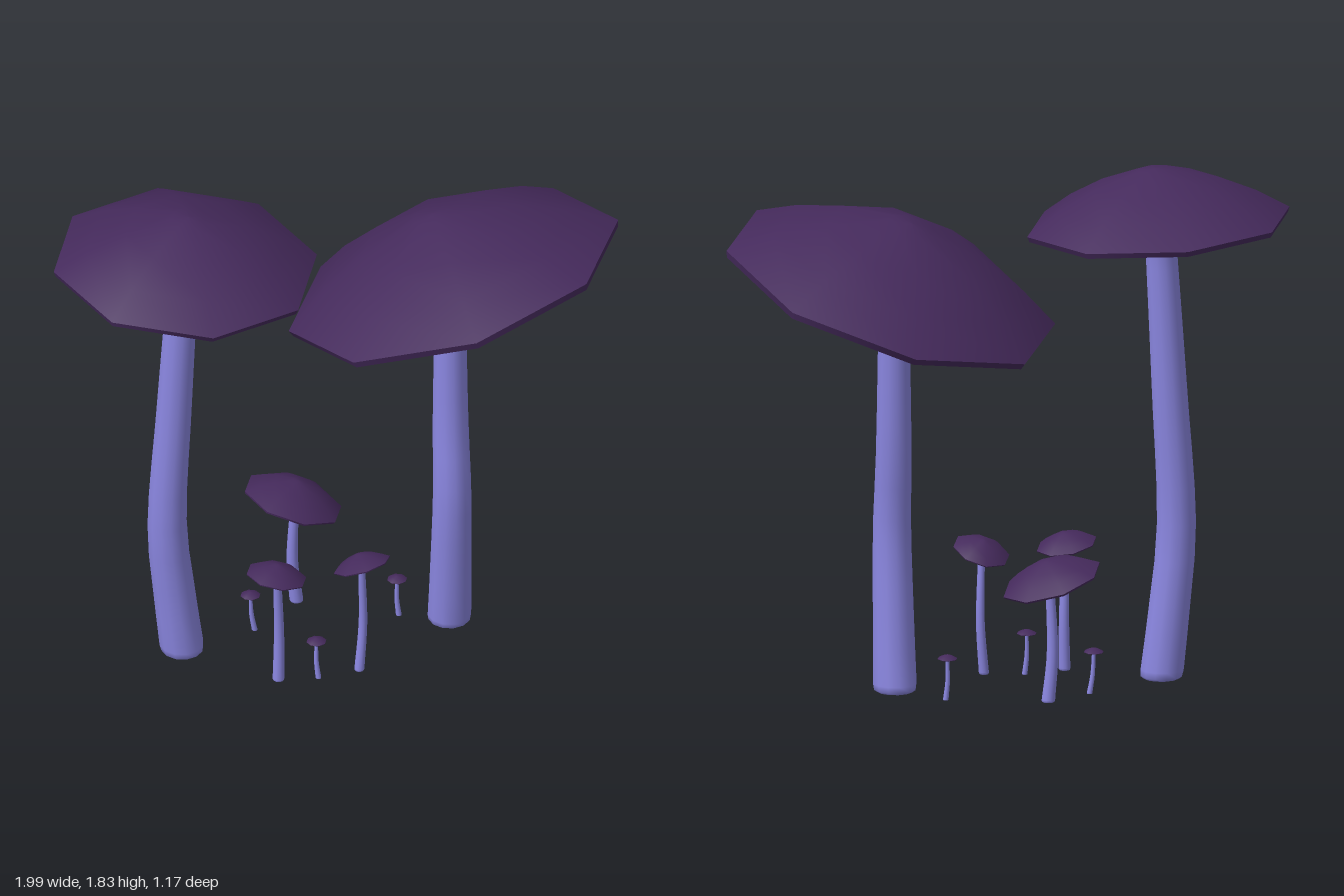
import * as THREE from 'three';

const capMat = new THREE.MeshStandardMaterial({ color: 0x452a5c });
const gillMat = new THREE.MeshStandardMaterial({ color: 0x11101c, side: THREE.DoubleSide });
const stemMat = new THREE.MeshStandardMaterial({ color: 0x8a86e0 });

function lathe(name, points, sides, material) {
  const geometry = new THREE.LatheGeometry(points.map(([x, y]) => new THREE.Vector2(x, y)), sides);
  const mesh = new THREE.Mesh(geometry, material);
  mesh.name = name;
  return mesh;
}

// Eight-sided cap of unit radius, scaled and tilted so its rim rises by slope [dy/dx, dy/dz]
function makeCap({ center, radius, slope, yaw = 0 }) {
  const cap = new THREE.Group();
  cap.name = 'cap';
  cap.add(
    lathe('capTop', [[1, 0.04], [0.76, 0.195], [0.47, 0.335], [0.13, 0.445], [0, 0.455]], 8, capMat),
    lathe('capRim', [[0.985, 0], [1, 0.04]], 8, capMat),
    lathe('capUnderside', [[0, 0.08], [0.3, 0.06], [0.985, 0]], 8, gillMat)
  );
  const normal = new THREE.Vector3(-slope[0], 1, -slope[1]).normalize();
  const up = new THREE.Vector3(0, 1, 0);
  cap.quaternion.setFromUnitVectors(up, normal)
    .multiply(new THREE.Quaternion().setFromAxisAngle(up, yaw));
  cap.position.set(...center);
  cap.scale.setScalar(radius);
  return cap;
}

// Round stem bent along a path, with a rounded foot and a flare that follows the cap's tilt
function makeStem({ path, foot, neck, slope }) {
  const curve = new THREE.CatmullRomCurve3(path.map(p => new THREE.Vector3(...p)));
  const profile = [[0, 0], [foot * 0.8, 0], [foot * 0.96, 0.006], [foot, 0.02]];
  for (let i = 1; i <= 12; i++) {
    const t = 0.02 + 0.95 * i / 12;
    profile.push([THREE.MathUtils.lerp(foot, neck, t), t]);
  }
  profile.push([neck * 1.3, 1]);
  const stem = lathe('stem', profile, 12, stemMat);
  const pos = stem.geometry.attributes.position;
  for (let i = 0; i < pos.count; i++) {
    const t = pos.getY(i), x = pos.getX(i), z = pos.getZ(i);
    const c = curve.getPointAt(t);
    const lift = t > 0.99 ? slope[0] * x + slope[1] * z : 0;
    pos.setXYZ(i, c.x + x, c.y + lift, c.z + z);
  }
  // Recompute smooth normals, then match both sides of the lathe seam
  stem.geometry.computeVertexNormals();
  const n = stem.geometry.attributes.normal, rows = profile.length, last = pos.count - rows;
  for (let i = 0; i < rows; i++) {
    const v = new THREE.Vector3().fromBufferAttribute(n, i)
      .add(new THREE.Vector3().fromBufferAttribute(n, last + i)).normalize();
    n.setXYZ(i, v.x, v.y, v.z);
    n.setXYZ(last + i, v.x, v.y, v.z);
  }
  return stem;
}

const mushrooms = [
  {
    name: 'tallMushroom', center: [-0.535, 1.62, -0.01], radius: 0.465, slope: [-0.065, 0],
    foot: 0.077, neck: 0.054,
    path: [[-0.545, 0.02, -0.005], [-0.575, 0.28, -0.005], [-0.6, 0.55, 0], [-0.575, 1.05, 0], [-0.54, 1.65, 0]]
  },
  {
    name: 'wideMushroom', center: [0.417, 1.432, 0], radius: 0.6, slope: [0.267, 0.223], yaw: -0.045,
    foot: 0.077, neck: 0.053,
    path: [[0.395, 0.02, 0], [0.395, 0.3, 0.028], [0.395, 0.6, 0.048], [0.395, 0.85, 0.022], [0.4, 1.48, -0.005]]
  },
  {
    name: 'backMushroom', center: [-0.11, 0.435, -0.225], radius: 0.178, slope: [-0.32, 0.07],
    foot: 0.024, neck: 0.015,
    path: [[-0.095, 0.01, -0.23], [-0.11, 0.18, -0.23], [-0.1, 0.45, -0.228]]
  },
  {
    name: 'frontRightMushroom', center: [-0.265, 0.45, 0.235], radius: 0.107, slope: [-0.2, 0.1],
    foot: 0.021, neck: 0.014,
    path: [[-0.255, 0.01, 0.225], [-0.252, 0.2, 0.22], [-0.262, 0.458, 0.235]]
  },
  {
    name: 'frontLeftMushroom', center: [0.04, 0.445, 0.225], radius: 0.102, slope: [0.22, 0.38],
    foot: 0.018, neck: 0.012,
    path: [[0.03, 0.01, 0.225], [0.045, 0.2, 0.215], [0.037, 0.452, 0.23]]
  }
];

// Tiny sprouts: foot x, z and head x, z
[[-0.27, -0.1, -0.285, -0.1], [-0.115, 0.23, -0.12, 0.22], [0.235, -0.085, 0.23, -0.09]].forEach(
  ([x0, z0, x1, z1], i) => mushrooms.push({
    name: 'sprout' + (i + 1), center: [x1, 0.147, z1], radius: 0.035, slope: [0, 0.05],
    foot: 0.01, neck: 0.006,
    path: [[x0, 0, z0], [(x0 + x1) / 2 - 0.004, 0.07, (z0 + z1) / 2], [x1, 0.149, z1]]
  }));

export function createModel() {
  const model = new THREE.Group();
  model.name = 'mushroomCluster';
  for (const spec of mushrooms) {
    const mushroom = new THREE.Group();
    mushroom.name = spec.name;
    mushroom.add(makeStem(spec), makeCap(spec));
    model.add(mushroom);
  }
  return model;
}
